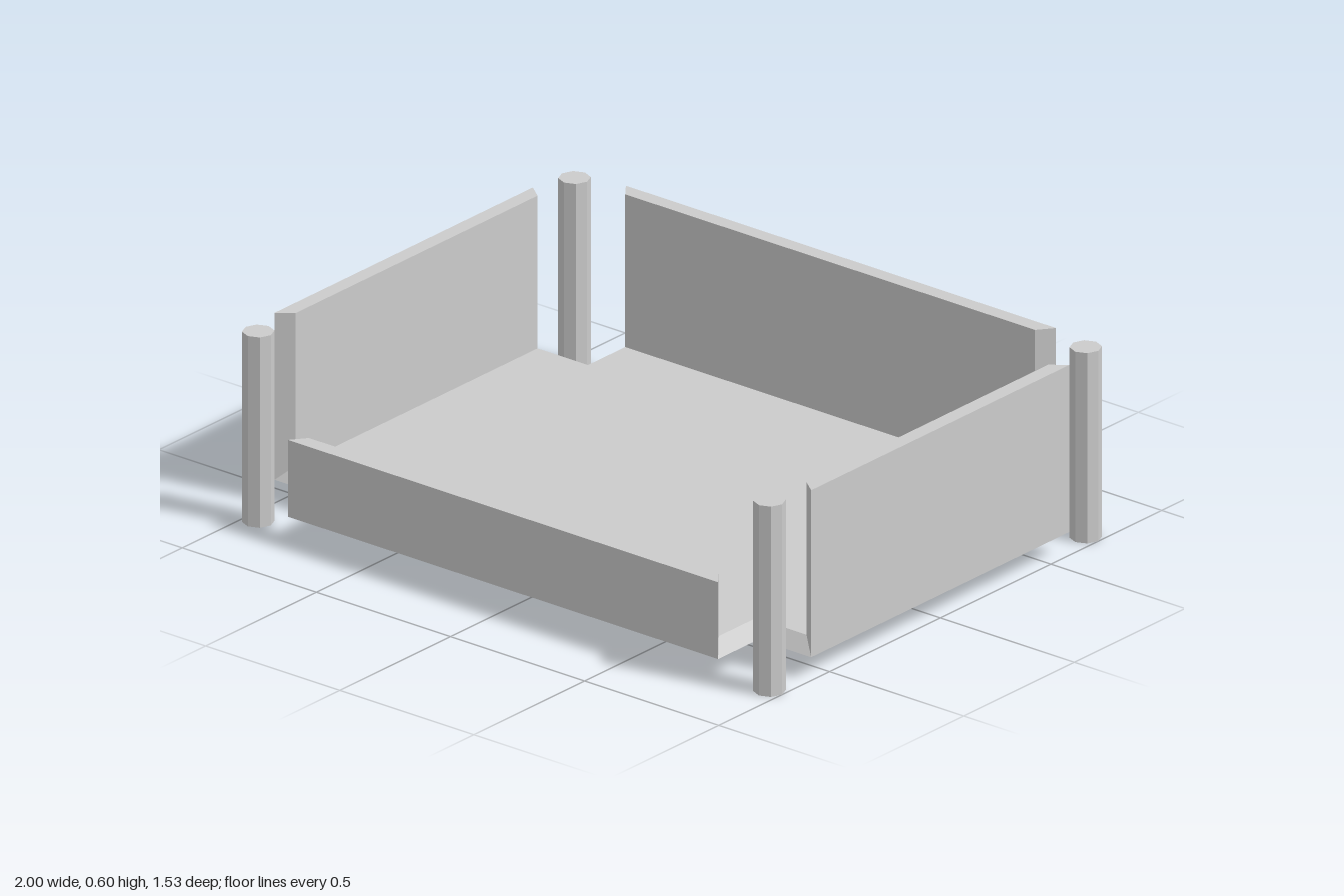
import * as THREE from 'three';

const material = new THREE.MeshStandardMaterial({ color: 0xcccccc, flatShading: true });

// Outer and inner half sizes: reach of each arm of the cross, and half width of its panels
const OUT = { x: 1, z: 0.763, panelX: 0.802, panelZ: 0.583 };
const INN = { x: 0.952, z: 0.714, panelX: 0.764, panelZ: 0.546 };
const BOTTOM = 0.073, FLOOR = 0.118, HIGH = 0.597, LOW = 0.314;

// Upright prism from plan points [x, z]
function prism(points, y0, y1) {
  const shape = new THREE.Shape(points.map(([x, z]) => new THREE.Vector2(x, -z)));
  const geometry = new THREE.ExtrudeGeometry(shape, { depth: y1 - y0, bevelEnabled: false });
  geometry.rotateX(-Math.PI / 2);
  geometry.translate(0, y0, 0);
  return geometry;
}

// Cross-shaped plan outline
function cross({ x, z, panelX: a, panelZ: b }) {
  return [[x, b], [a, b], [a, z], [-a, z], [-a, b], [-x, b],
    [-x, -b], [-a, -b], [-a, -z], [a, -z], [a, -b], [x, -b]];
}

export function createModel() {
  const model = new THREE.Group();
  const add = (name, geometry) => {
    const mesh = new THREE.Mesh(geometry, material);
    mesh.name = name;
    model.add(mesh);
    return mesh;
  };

  // Floor: its top edge is drawn in to the inner outline, giving sloped notches
  const floor = prism(cross(OUT), BOTTOM, FLOOR);
  const p = floor.attributes.position;
  const near = (a, b) => Math.abs(a - b) < 1e-4;
  for (let i = 0; i < p.count; i++) {
    if (!near(p.getY(i), FLOOR)) continue;
    const x = p.getX(i), z = p.getZ(i);
    p.setX(i, Math.sign(x) * (near(Math.abs(x), OUT.x) ? INN.x : INN.panelX));
    p.setZ(i, Math.sign(z) * (near(Math.abs(z), OUT.z) ? INN.z : INN.panelZ));
  }
  floor.computeVertexNormals();
  add('floor', floor);

  // Walls with mitred ends; the front one is low
  const endWall = (s) => [[-OUT.panelX, s * OUT.z], [OUT.panelX, s * OUT.z],
    [INN.panelX, s * INN.z], [-INN.panelX, s * INN.z]];
  const sideWall = (s) => [[s * OUT.x, -OUT.panelZ], [s * OUT.x, OUT.panelZ],
    [s * INN.x, INN.panelZ], [s * INN.x, -INN.panelZ]];
  add('frontWall', prism(endWall(1), BOTTOM, LOW));
  add('backWall', prism(endWall(-1), BOTTOM, HIGH));
  add('leftWall', prism(sideWall(1), BOTTOM, HIGH));
  add('rightWall', prism(sideWall(-1), BOTTOM, HIGH));

  // Eight-sided corner posts
  for (const x of [-1, 1]) {
    for (const z of [-1, 1]) {
      const name = (z > 0 ? 'front' : 'back') + (x > 0 ? 'Left' : 'Right') + 'Post';
      add(name, new THREE.CylinderGeometry(0.047, 0.047, HIGH, 8))
        .position.set(x * 0.953, HIGH / 2, z * 0.714);
    }
  }
  return model;
}
